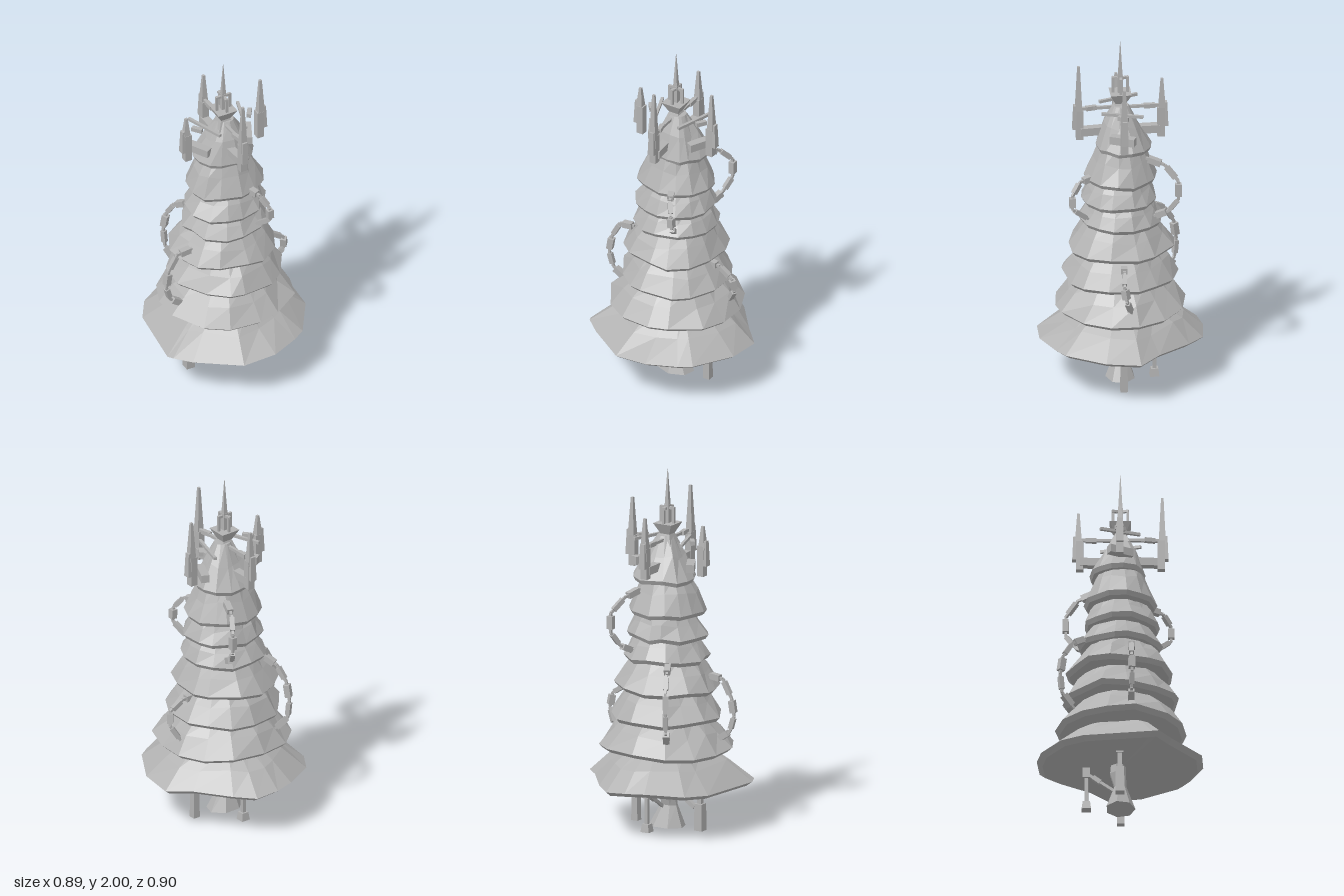
import * as THREE from 'three';

const grey = new THREE.MeshStandardMaterial({ color: 0xb2b2b2, flatShading: true });
grey.name = 'plain grey';

let seed = 7;
const rand = () => ((seed = (seed * 16807) % 2147483647) / 2147483647) * 2 - 1;

function add(parent, geometry, name, x = 0, y = 0, z = 0) {
  const mesh = new THREE.Mesh(geometry, grey);
  mesh.name = name;
  mesh.position.set(x, y, z);
  parent.add(mesh);
  return mesh;
}

// square section tapering from half width b (bottom) to t (top)
function taper(parent, name, x, y0, y1, z, b, t) {
  const g = new THREE.CylinderGeometry(t * Math.SQRT2, b * Math.SQRT2, y1 - y0, 4);
  g.rotateY(Math.PI / 4);
  return add(parent, g, name, x, (y0 + y1) / 2, z);
}

// square bar between two points
function bar(parent, name, a, b, w) {
  const p = new THREE.Vector3(...a), q = new THREE.Vector3(...b);
  const d = q.clone().sub(p);
  const mesh = add(parent, new THREE.BoxGeometry(w, w, d.length()), name);
  mesh.position.copy(p).add(q).multiplyScalar(0.5);
  mesh.lookAt(mesh.position.clone().add(d));
  return mesh;
}

// closed faceted skin through rings ordered from top to bottom
function loft(rings) {
  const pos = [], n = rings[0].length;
  const tri = (...pts) => pts.forEach((p) => pos.push(...p));
  const centre = (ring) => [0, 1, 2].map((k) => ring.reduce((s, p) => s + p[k], 0) / n);
  const first = rings[0], last = rings[rings.length - 1];
  const top = centre(first), bottom = centre(last);
  for (let i = 0; i < n; i++) {
    const j = (i + 1) % n;
    for (let r = 0; r + 1 < rings.length; r++) {
      const [A, B, C, D] = [rings[r][i], rings[r][j], rings[r + 1][i], rings[r + 1][j]];
      tri(C, D, B);
      tri(C, B, A);
    }
    tri(top, first[i], first[j]);
    tri(bottom, last[j], last[i]);
  }
  const g = new THREE.BufferGeometry();
  g.setAttribute('position', new THREE.Float32BufferAttribute(pos, 3));
  g.computeVertexNormals();
  return g;
}

// uneven rim of a foliage tier as [x, z] points
function rimPoints(rx, rz, cx, cz) {
  return Array.from({ length: 14 }, (_, i) => {
    const a = ((i + rand() * 0.25) / 14) * Math.PI * 2, k = 0.985 + rand() * 0.04;
    return [cx + rx * k * Math.sin(a), cz + rz * k * Math.cos(a)];
  });
}

function tier(parent, yTop, rTop, yRim, rim) {
  const top = [], mid = [], edge = [], lip = [];
  for (const [x, z] of rim) {
    const r = Math.hypot(x, z), dx = x / r, dz = z / r;
    const m = rTop + (r - rTop) * (0.5 + rand() * 0.09);
    const drop = rand() * 0.012;
    top.push([dx * rTop, yTop, dz * rTop]);
    mid.push([dx * m, yRim + (yTop - yRim) * (0.53 + rand() * 0.07), dz * m]);
    edge.push([x, yRim + drop, z]);
    lip.push([x * 0.93, yRim - 0.024 + drop, z * 0.93]);
  }
  add(parent, loft([top, mid, edge, lip]), 'foliageTier');
}

// thin cord carrying chunky blocks
function vine(parent, points) {
  const g = new THREE.Group();
  g.name = 'vine';
  parent.add(g);
  for (let i = 0; i + 1 < points.length; i++) {
    const a = new THREE.Vector3(...points[i]), b = new THREE.Vector3(...points[i + 1]);
    bar(g, 'vineCord', points[i], points[i + 1], 0.014);
    bar(g, 'vineBlock', a.clone().lerp(b, 0.14).toArray(), a.clone().lerp(b, 0.8).toArray(), i % 2 ? 0.026 : 0.034);
  }
}

export function createModel() {
  const model = new THREE.Group();
  model.name = 'tieredTreeTower';

  // foliage: lowest tier has a lopsided rim
  tier(model, 0.46, 0.2, 0.27, [
    [0.07, 0.45], [0.23, 0.375], [0.3, 0.33], [0.43, 0.12], [0.445, -0.07], [0.34, -0.18],
    [0.2, -0.355], [0.1, -0.44], [-0.03, -0.455], [-0.14, -0.43], [-0.33, -0.32],
    [-0.405, -0.2], [-0.45, 0.175], [-0.435, 0.215], [-0.35, 0.285], [-0.12, 0.445]]);
  const tiers = [
    [0.63, 0.21, 0.46, 0.38, 0.375, -0.005, 0.005],
    [0.8, 0.19, 0.635, 0.315, 0.315, -0.01, 0],
    [0.96, 0.18, 0.805, 0.295, 0.3, -0.02, 0],
    [1.09, 0.15, 0.965, 0.24, 0.23, -0.008, 0],
    [1.22, 0.14, 1.085, 0.232, 0.215, -0.012, 0.012],
    [1.42, 0.12, 1.215, 0.222, 0.205, -0.012, 0],
    [1.63, 0.045, 1.405, 0.18, 0.155, -0.005, -0.015],
  ];
  for (const [yT, rT, yR, ...shape] of tiers) tier(model, yT, rT, yR, rimPoints(...shape));

  // trunk: flared foot, bent waist
  const trunkRing = (y, cx, cz, rx, rz) => Array.from({ length: 7 }, (_, i) => {
    const a = (i / 7) * Math.PI * 2;
    return [cx + rx * Math.sin(a), y, cz + rz * Math.cos(a)];
  });
  add(model, loft([
    trunkRing(0.3, -0.03, -0.01, 0.04, 0.04), trunkRing(0.2, -0.025, -0.015, 0.05, 0.045),
    trunkRing(0.12, -0.025, 0, 0.05, 0.035), trunkRing(0, -0.013, 0, 0.107, 0.082)]), 'trunk');

  // three ground posts with struts to the trunk
  taper(model, 'postBase', -0.225, 0, 0.15, 0, 0.025, 0.023);
  taper(model, 'postRod', -0.225, 0.15, 0.28, 0, 0.012, 0.012);
  taper(model, 'postCap', -0.225, 0.235, 0.28, 0, 0.02, 0.02);
  bar(model, 'strut', [-0.22, 0.105, 0], [-0.01, 0.25, 0], 0.014);
  bar(model, 'strutBlock', [-0.19, 0.125, 0], [-0.14, 0.16, 0], 0.024);
  taper(model, 'postBase', 0.19, 0, 0.18, 0, 0.02, 0.017);
  taper(model, 'postRod', 0.19, 0.18, 0.3, 0, 0.012, 0.012);
  bar(model, 'strut', [0.19, 0.165, 0], [0.03, 0.26, 0], 0.016);
  bar(model, 'strutBlock', [0.14, 0.195, 0], [0.07, 0.236, 0], 0.024);
  taper(model, 'postBase', 0, 0, 0.045, -0.185, 0.026, 0.02);
  taper(model, 'postRod', 0, 0.045, 0.2, -0.185, 0.01, 0.01);
  taper(model, 'postCap', 0, 0.19, 0.29, -0.185, 0.02, 0.02);
  bar(model, 'strut', [0, 0.215, -0.18], [0, 0.11, -0.03], 0.016);
  bar(model, 'strutBlock', [0, 0.195, -0.15], [0, 0.165, -0.11], 0.026);

  // hanging vines
  vine(model, [[0.05, 1.23, 0.14], [0.09, 1.215, 0.23], [0.125, 1.15, 0.275], [0.13, 1.07, 0.275], [0.09, 0.99, 0.18]]);
  vine(model, [[-0.24, 0.86, 0.065], [-0.33, 0.85, 0.065], [-0.385, 0.75, 0.065], [-0.4, 0.65, 0.068], [-0.375, 0.56, 0.065], [-0.29, 0.5, 0.06]]);
  vine(model, [[0.17, 0.745, 0], [0.27, 0.74, 0.005], [0.35, 0.69, 0.012], [0.36, 0.61, 0], [0.31, 0.52, -0.03]]);
  vine(model, [[0.08, 1.34, -0.13], [0.115, 1.31, -0.23], [0.16, 1.23, -0.3], [0.16, 1.12, -0.3], [0.13, 1.04, -0.25], [0.1, 1, -0.17]]);
  vine(model, [[-0.14, 0.96, -0.19], [-0.175, 0.92, -0.26], [-0.2, 0.83, -0.31], [-0.21, 0.72, -0.325], [-0.205, 0.61, -0.315], [-0.17, 0.53, -0.25]]);

  // crown: four pylons around the peak, each with its own spike height
  const crown = new THREE.Group();
  crown.name = 'crown';
  crown.position.x = -0.014;
  model.add(crown);
  [1.86, 1.81, 1.77, 1.71].forEach((tip, i) => {
    const arm = new THREE.Group();
    arm.name = 'pylon';
    arm.rotation.y = (i * Math.PI) / 2;
    crown.add(arm);
    taper(arm, 'pylonFoot', 0, 1.43, 1.6, 0.222, 0.02, 0.02);
    const body = taper(arm, 'pylonBody', 0, 1.49, 1.63, 0.238, 0.024, 0.018);
    body.scale.x = 0.8;
    taper(arm, 'pylonSpike', 0, 1.58, tip, 0.228, 0.02, 0.007);
    bar(arm, 'lowerArm', [0, 1.475, 0.08], [0, 1.475, 0.22], 0.045);
    bar(arm, 'upperArm', [0, 1.61, 0], [0, 1.61, 0.23], 0.016);
    bar(arm, 'armSleeve', [0, 1.61, 0.13], [0, 1.61, 0.19], 0.024);
  });

  // peak platform, open cage and central spire
  taper(crown, 'platformBase', 0, 1.58, 1.64, 0, 0.05, 0.028);
  taper(crown, 'platform', 0, 1.64, 1.7, 0, 0.028, 0.058);
  for (let i = 0; i < 4; i++) {
    const a = (i * Math.PI) / 2, x = 0.04 * Math.sin(a), z = 0.04 * Math.cos(a);
    taper(crown, 'cagePost', x, 1.7, 1.79, z, 0.007, 0.007);
    bar(crown, 'cageBeam', [x * 1.17, 1.784, z * 1.17], [0, 1.784, 0], 0.014);
  }
  taper(crown, 'spireBase', 0, 1.44, 1.8, 0, 0.016, 0.014);
  taper(crown, 'spire', 0, 1.8, 2, 0, 0.012, 0.001);
  return model;
}
